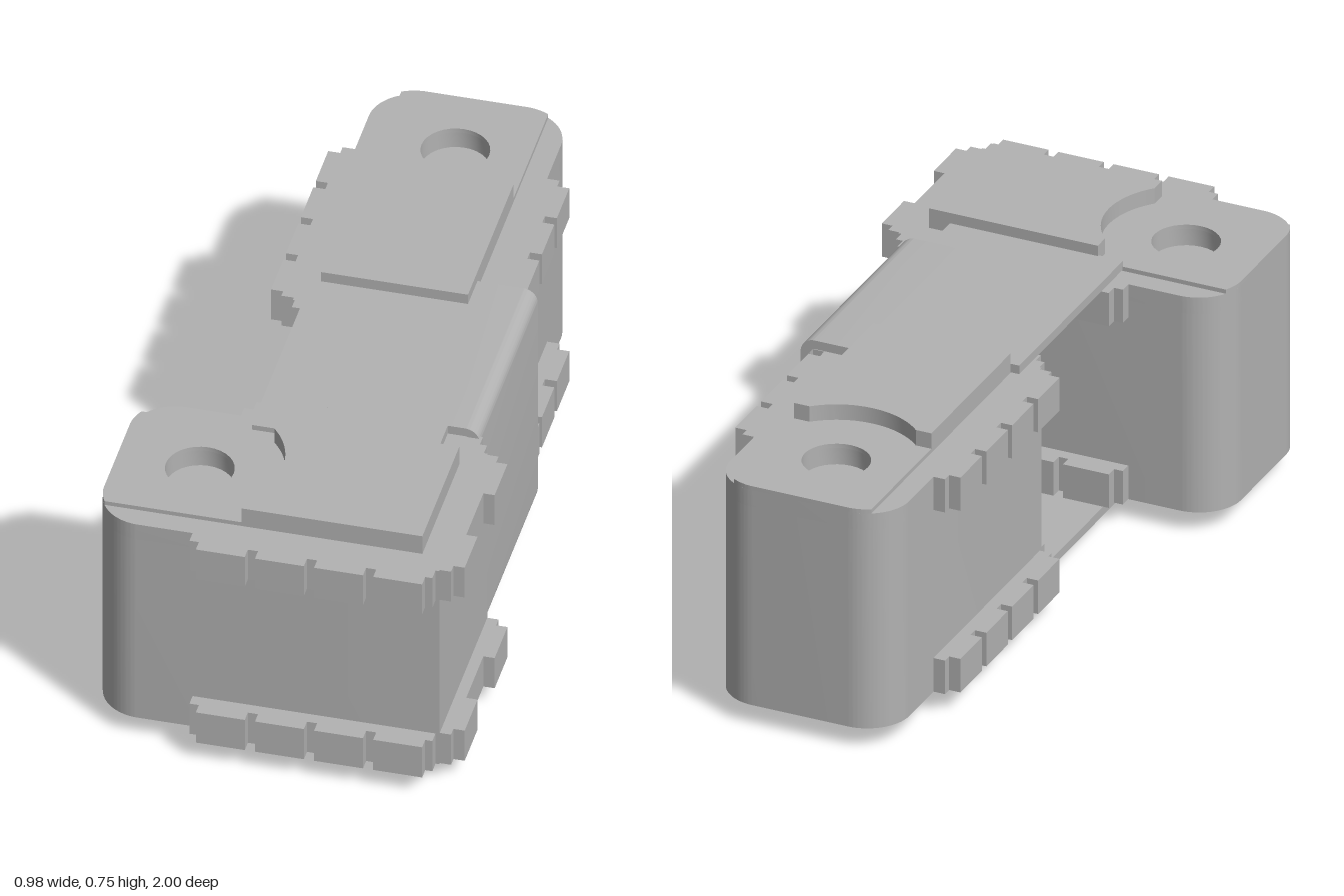
import * as THREE from 'three';
import { toCreasedNormals } from 'three/addons/utils/BufferGeometryUtils.js';

const grey = new THREE.MeshStandardMaterial({ color: 0xb2b2b2 });
grey.name = 'plain grey';

function add(parent, name, geometry) {
  const mesh = new THREE.Mesh(geometry, grey);
  mesh.name = name;
  parent.add(mesh);
  return mesh;
}

// Box given by its limits on each axis
function box(parent, name, x0, x1, y0, y1, z0, z1) {
  add(parent, name, new THREE.BoxGeometry(x1 - x0, y1 - y0, z1 - z0))
    .position.set((x0 + x1) / 2, (y0 + y1) / 2, (z0 + z1) / 2);
}

// Plan shape raised from y0 to y1
function slab(parent, name, shape, y0, y1) {
  const g = new THREE.ExtrudeGeometry(shape, { depth: y1 - y0, bevelEnabled: false, curveSegments: 16 });
  g.rotateX(-Math.PI / 2).translate(0, y0, 0);
  add(parent, name, toCreasedNormals(g, 0.5));
}

const disc = r => new THREE.Path().absarc(0, 0, r, 0, Math.PI * 2, true);

// Block plan: rounded at the -x end, square at the other
function blockPlan(hole) {
  const s = new THREE.Shape();
  s.moveTo(0.7, -0.255);
  s.lineTo(0.7, 0.255);
  s.lineTo(-0.1, 0.255);
  s.absarc(-0.1, 0.135, 0.12, Math.PI / 2, Math.PI, false);
  s.absarc(-0.1, -0.135, 0.12, Math.PI, Math.PI * 1.5, false);
  if (hole) s.holes.push(disc(0.09));
  return s;
}

// Narrow lid running to the rounded end
function lidPlan() {
  const s = new THREE.Shape();
  s.moveTo(0.64, -0.195);
  s.lineTo(0.64, 0.195);
  s.lineTo(-0.204, 0.195);
  s.quadraticCurveTo(-0.22, 0.165, -0.22, 0.135);
  s.lineTo(-0.22, -0.135);
  s.quadraticCurveTo(-0.22, -0.165, -0.204, -0.195);
  s.holes.push(disc(0.09));
  return s;
}

// Raised pad with an arc cut out around the hole
function padPlan() {
  const a = Math.acos(0.16 / 0.22);
  const s = new THREE.Shape();
  s.moveTo(0.16, -0.195);
  s.lineTo(0.64, -0.195);
  s.lineTo(0.64, 0.195);
  s.lineTo(0.16, 0.195);
  s.absarc(0, 0, 0.22, a, -a, true);
  return s;
}

function createBlock(name) {
  const block = new THREE.Group();
  block.name = name;
  slab(block, 'body', blockPlan(false), 0.06, 0.64);
  slab(block, 'bodyTop', blockPlan(true), 0.64, 0.688);
  slab(block, 'lid', lidPlan(), 0.688, 0.7);
  slab(block, 'raisedPad', padPlan(), 0.7, 0.745);
  box(block, 'bottomPanel', -0.16, 0.64, 0.048, 0.06, -0.195, 0.195);

  // Ring foot under the hole
  const ring = new THREE.Shape().absarc(0, 0, 0.11, 0, Math.PI * 2, false);
  ring.holes.push(disc(0.078));
  slab(block, 'ringFoot', ring, 0, 0.05);

  // Two rectangular feet
  for (const [v0, v1] of [[-0.195, -0.07], [0.07, 0.195]])
    box(block, 'foot', 0.435, 0.64, 0, 0.05, v0, v1);

  // Toothed bands along the top and bottom edges
  for (const [y0, y1] of [[0.06, 0.158], [0.591, 0.688]]) {
    for (const side of [-1, 1]) {
      const span = (a, b) => (side > 0 ? [a, b] : [-b, -a]);
      box(block, 'sideBand', 0.045, 0.69, y0, y1, ...span(0.25, 0.288));
      for (let i = 0; i < 4; i++) {
        const u = 0.07 + i * 0.157;
        box(block, 'sideTooth', u, u + 0.13, y0, y1, ...span(0.286, 0.32));
      }
      box(block, 'endTooth', 0.728, 0.76, y0, y1, ...span(0.09, 0.225));
    }
    box(block, 'endBand', 0.695, 0.73, y0, y1, -0.25, 0.25);
  }
  return block;
}

// Open channel that joins the two blocks
function createChannel() {
  const channel = new THREE.Group();
  channel.name = 'channel';
  const s = new THREE.Shape();
  s.moveTo(0.23, 0.03);
  s.lineTo(0.355, 0.03);
  s.absarc(0.355, 0.07, 0.04, -Math.PI / 2, 0, false);
  s.absarc(0.355, 0.675, 0.04, 0, Math.PI / 2, false);
  s.lineTo(0.23, 0.715);
  s.lineTo(0.23, 0.69);
  s.lineTo(0.355, 0.69);
  s.absarc(0.355, 0.675, 0.015, Math.PI / 2, 0, true);
  s.absarc(0.355, 0.07, 0.015, 0, -Math.PI / 2, true);
  s.lineTo(0.23, 0.055);
  const g = new THREE.ExtrudeGeometry(s, { depth: 0.61, bevelEnabled: false, curveSegments: 10 });
  add(channel, 'channelWall', toCreasedNormals(g.translate(0, 0, -0.24), 0.5));
  for (const [y0, y1] of [[0.03, 0.055], [0.69, 0.715]]) {
    box(channel, 'channelPlate', -0.18, 0.23, y0, y1, -0.14, 0.37);
    box(channel, 'channelTab', -0.18, 0.31, y0, y1, 0.37, 0.49);
  }
  return channel;
}

export function createModel() {
  const model = new THREE.Group();
  model.name = 'linkedBlocks';
  const front = createBlock('frontBlock');
  front.position.set(-0.27, 0, 0.68);
  const back = createBlock('backBlock');
  back.rotation.y = -Math.PI / 2;
  back.position.set(0.04, 0, -0.78);
  model.add(front, back, createChannel());
  return model;
}
